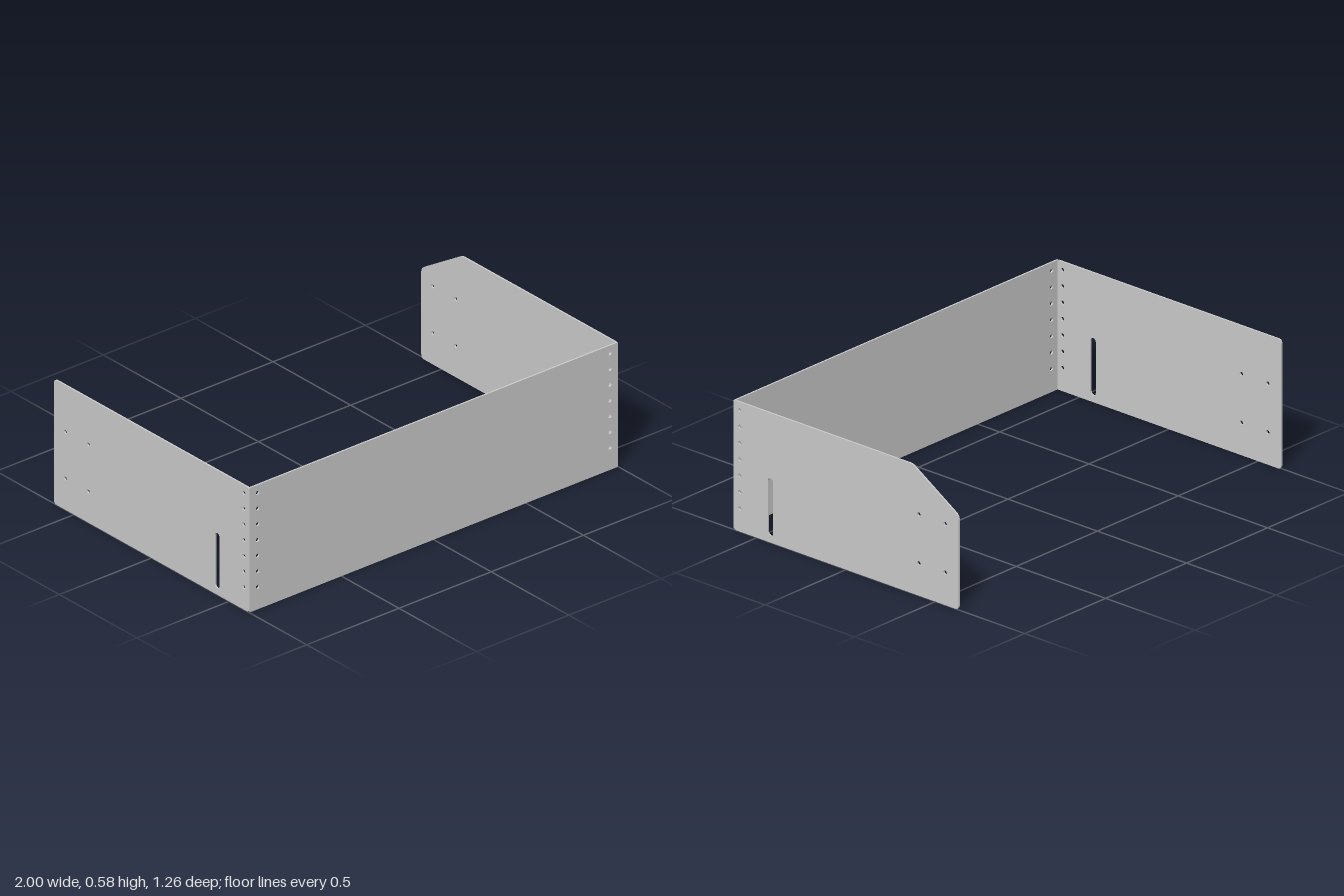
import * as THREE from 'three';

const T = 0.008, H = 0.585, D = 0.63;
const ROWS = Array.from({ length: 7 }, (_, i) => 0.105 + i * 0.0738);
const material = new THREE.MeshStandardMaterial({ color: 0xcccccc, side: THREE.DoubleSide });

// Closed outline through [x, y, cornerRadius] points
function roundedOutline(points) {
  const shape = new THREE.Shape();
  const n = points.length;
  points.forEach(([x, y, r], i) => {
    const corner = new THREE.Vector2(x, y);
    const toward = ([px, py]) => new THREE.Vector2(px, py).sub(corner).setLength(r).add(corner);
    const a = toward(points[(i + n - 1) % n]);
    const b = toward(points[(i + 1) % n]);
    if (i === 0) shape.moveTo(a.x, a.y);
    else shape.lineTo(a.x, a.y);
    shape.quadraticCurveTo(x, y, b.x, b.y);
  });
  shape.closePath();
  return shape;
}

function addHole(shape, x, y, r = 0.009) {
  shape.holes.push(new THREE.Path().absarc(x, y, r, 0, Math.PI * 2, true));
}

function addSlot(shape, x, y0, y1, r) {
  const slot = new THREE.Path();
  slot.absarc(x, y1 - r, r, 0, Math.PI, false);
  slot.absarc(x, y0 + r, r, Math.PI, Math.PI * 2, false);
  slot.closePath();
  shape.holes.push(slot);
}

function plate(name, shape) {
  const geometry = new THREE.ExtrudeGeometry(shape, { depth: T, bevelEnabled: false, curveSegments: 10 });
  const mesh = new THREE.Mesh(geometry, material);
  mesh.name = name;
  return mesh;
}

// Side panel drawn with shape x = -z
function sidePanel(name, chamfered) {
  const back = chamfered ? [[D, 0.424, 0.02], [0.37, H, 0.015]] : [[D, H, 0.02]];
  const shape = roundedOutline([[-D + T, 0, 0.008], [D, 0, 0.02], ...back, [-D + T, H, 0.008]]);
  ROWS.forEach(y => addHole(shape, -0.595, y));
  for (const x of [0.407, 0.555]) for (const y of [0.147, 0.367]) addHole(shape, x, y);
  addSlot(shape, -0.423, 0.03, 0.29, 0.015);
  const mesh = plate(name, shape);
  mesh.rotation.y = Math.PI / 2;
  return mesh;
}

export function createModel() {
  const group = new THREE.Group();
  group.name = 'bracket';

  // Front panel with a row of holes near each end
  const shape = roundedOutline([[-1, 0, 0.01], [1, 0, 0.01], [1, H, 0.005], [-1, H, 0.005]]);
  for (const x of [-0.955, 0.955]) ROWS.forEach(y => addHole(shape, x, y));
  const front = plate('frontPanel', shape);
  front.position.z = D - T;

  // Side panels; the left one has its rear top corner cut off
  const left = sidePanel('leftPanel', true);
  left.position.x = 1 - T;
  const right = sidePanel('rightPanel', false);
  right.position.x = -1;

  group.add(front, left, right);
  return group;
}
